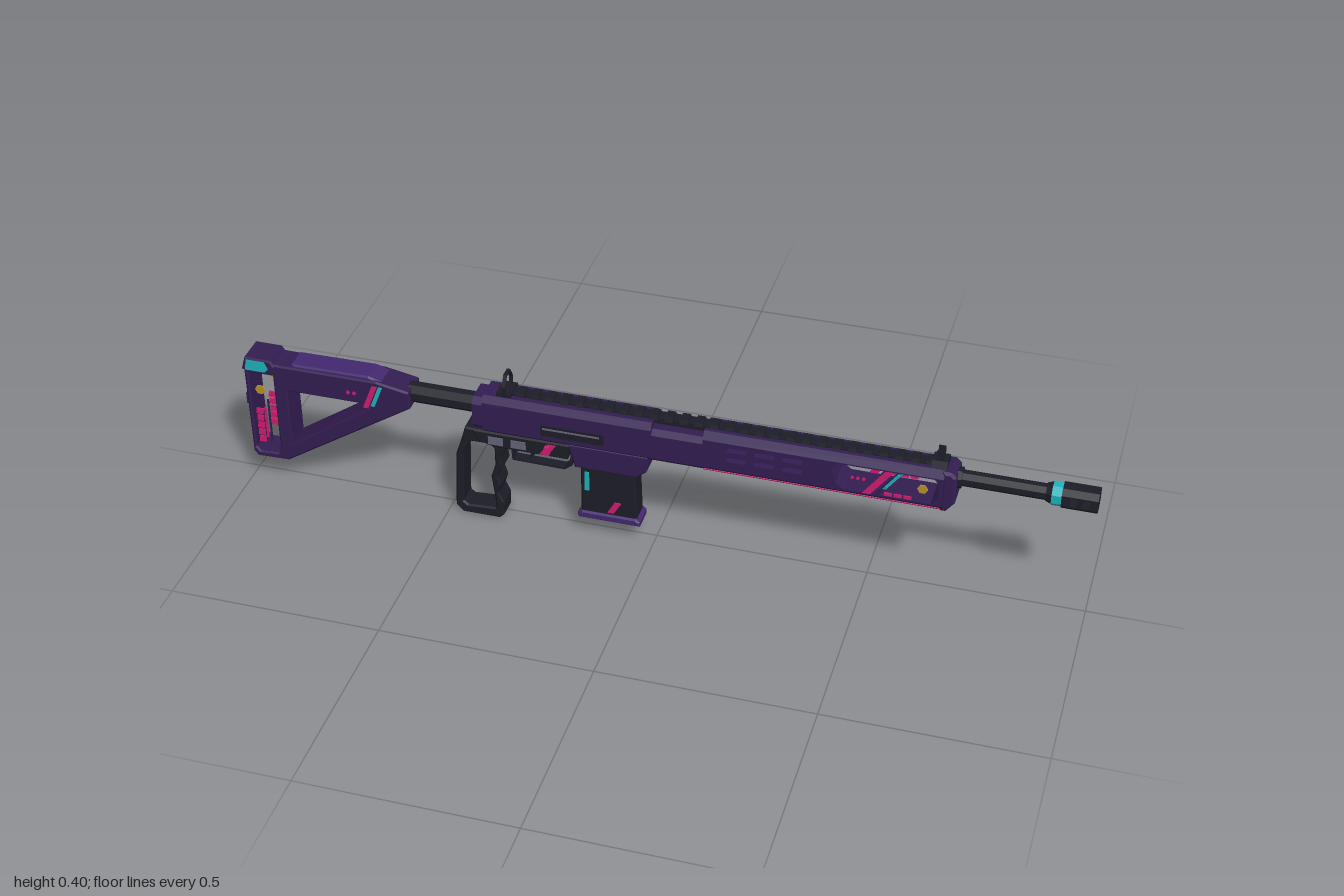
import * as THREE from 'three';

const mat = (name, color) => {
  const m = new THREE.MeshStandardMaterial({ color });
  m.name = name;
  return m;
};

export function createModel() {
  const purple = mat('deep purple', 0x331d52);
  const violet = mat('violet', 0x42286e);
  const black = mat('gunmetal black', 0x1c1d27);
  const grey = mat('steel grey', 0x66657a);
  const pink = mat('hot pink', 0xd01c6e);
  const cyan = mat('cyan', 0x1fb3bb);
  const gold = mat('gold', 0xb8932a);

  const model = new THREE.Group();
  const rifle = new THREE.Group();
  rifle.name = 'rifle';
  rifle.position.z = 0.011;
  model.add(rifle);

  // ---- helpers ----
  const add = (name, geo, material) => {
    const m = new THREE.Mesh(geo, material);
    m.name = name;
    rifle.add(m);
    return m;
  };
  const pts = (a) => a.map(([x, y]) => new THREE.Vector2(x, y));
  const rect = (x0, x1, y0, y1) => [[x0, y0], [x1, y0], [x1, y1], [x0, y1]];
  // side outline in x,y spread to +-half in z, with chamfered edges
  const slab = (name, outline, half, material, bevel = 0, holes = []) => {
    const s = new THREE.Shape(pts(outline));
    s.holes = holes.map((h) => new THREE.Path(pts(h)));
    const g = new THREE.ExtrudeGeometry(s, {
      depth: 2 * (half - bevel), bevelEnabled: bevel > 0, bevelSize: bevel,
      bevelThickness: bevel, bevelOffset: -bevel, bevelSegments: 1,
    });
    g.translate(0, 0, bevel - half);
    return add(name, g, material);
  };
  // end section in z,y swept from x0 to x1
  const sweep = (name, section, x0, x1, material, holes = []) => {
    const s = new THREE.Shape(pts(section));
    s.holes = holes.map((h) => new THREE.Path(pts(h)));
    const g = new THREE.ExtrudeGeometry(s, { depth: x1 - x0, bevelEnabled: false });
    g.rotateY(Math.PI / 2).translate(x0, 0, 0);
    return add(name, g, material);
  };
  const octagon = (h, y0, y1, c) => [[-h, y0 + c], [-h + c, y0], [h - c, y0], [h, y0 + c],
    [h, y1 - c], [h - c, y1], [-h + c, y1], [-h, y1 - c]];
  const box = (name, x0, x1, y0, y1, z0, z1, material) => {
    const g = new THREE.BoxGeometry(x1 - x0, y1 - y0, z1 - z0);
    g.translate((x0 + x1) / 2, (y0 + y1) / 2, (z0 + z1) / 2);
    return add(name, g, material);
  };
  // eight-sided rod along x, flat faced
  const rod = (name, x0, x1, r, y, material, r2 = r) => {
    const g = new THREE.CylinderGeometry(r2, r, x1 - x0, 8, 1, false, Math.PI / 8).toNonIndexed();
    g.computeVertexNormals();
    g.rotateZ(-Math.PI / 2).translate((x0 + x1) / 2, y, 0);
    return add(name, g, material);
  };
  // chamfered bar with square-cut windows through its sides
  const slottedBar = (name, x0, x1, [y0, y1, y2, y3], half, chamfer, material, holes) => {
    slab(name + 'Core', rect(x0, x1, y1, y2), half, material, 0, holes);
    const n = half - chamfer;
    sweep(name + 'Top', [[-half, y2], [half, y2], [n, y3], [-n, y3]], x0, x1, material);
    sweep(name + 'Bottom', [[-n, y0], [n, y0], [half, y1], [-half, y1]], x0, x1, material);
  };
  // thin painted plate, on both sides unless told otherwise
  const paint = (name, outline, z, material, sides = [1, -1]) => {
    for (const s of sides) slab(name, outline, 0.0015, material).position.z = s * z;
  };
  const stripe = (x, y0, y1, w, lean) => [[x, y0], [x + w, y0], [x + w + lean, y1], [x + lean, y1]];
  const dot = (x, y, r) => Array.from({ length: 6 }, (_, i) =>
    [x + r * Math.cos(i * Math.PI / 3), y + r * Math.sin(i * Math.PI / 3)]);

  // ---- stock ----
  slab('stock', [[-0.985, 0.345], [-0.99, 0.31], [-0.988, 0.08], [-0.978, 0.068], [-0.9, 0.07],
    [-0.58, 0.28], [-0.58, 0.325], [-0.66, 0.34], [-0.9, 0.34]], 0.036, purple, 0.004, [
    [[-0.979, 0.095], [-0.97, 0.084], [-0.924, 0.086], [-0.918, 0.097], [-0.918, 0.308], [-0.979, 0.308]],
    [[-0.885, 0.122], [-0.68, 0.262], [-0.7, 0.272], [-0.885, 0.272]],
  ]);
  slab('stockCap', [[-0.995, 0.315], [-0.985, 0.35], [-0.92, 0.35], [-0.91, 0.335], [-0.91, 0.312]], 0.038, purple, 0.004);
  slab('cheekRest', [[-0.87, 0.33], [-0.87, 0.346], [-0.68, 0.348], [-0.64, 0.335], [-0.64, 0.325]], 0.03, violet, 0.004);
  box('buttStud', -1, -0.985, 0.205, 0.235, -0.018, 0.018, purple);
  paint('capPatch', [[-0.985, 0.318], [-0.935, 0.318], [-0.927, 0.328], [-0.935, 0.346], [-0.98, 0.346]], 0.038, cyan);
  paint('buttEmblem', dot(-0.953, 0.265, 0.013), 0.036, gold);
  for (let i = 0; i < 5; i++) paint('buttMark', stripe(-0.969, 0.115 + i * 0.02, 0.131 + i * 0.02, 0.017, 0.002), 0.036, pink);
  paint('buttStripe', rect(-0.948, -0.943, 0.13, 0.215), 0.036, pink);
  paint('buttLine', rect(-0.938, -0.934, 0.12, 0.24), 0.036, purple);
  paint('stockStripe', stripe(-0.695, 0.265, 0.328, 0.013, 0.025), 0.0365, pink);
  paint('stockStripe', stripe(-0.676, 0.272, 0.328, 0.01, 0.022), 0.0365, cyan);
  for (const x of [-0.73, -0.715]) paint('stockDot', dot(x, 0.3, 0.005), 0.0365, pink);
  rod('bufferTube', -0.59, -0.41, 0.025, 0.307, black);

  // ---- receiver ----
  sweep('receiver', octagon(0.043, 0.25, 0.352, 0.014), -0.4, 0, purple);
  sweep('receiverRear', octagon(0.04, 0.258, 0.342, 0.014), -0.425, -0.4, purple);
  sweep('receiverFront', octagon(0.039, 0.248, 0.335, 0.012), 0, 0.125, purple);
  box('rearCollar', -0.39, -0.35, 0.275, 0.335, -0.046, 0.046, purple);
  slab('lowerReceiver', [[-0.43, 0.255], [-0.42, 0.225], [-0.38, 0.212], [-0.2, 0.212], [-0.19, 0.255]], 0.037, black, 0.005);
  slab('magazineWell', [[-0.2, 0.26], [-0.183, 0.195], [-0.035, 0.195], [-0.012, 0.215], [-0.005, 0.26]], 0.038, purple, 0.005);
  paint('sidePort', rect(-0.26, -0.11, 0.276, 0.304), 0.0435, black, [1]);
  paint('portBar', rect(-0.255, -0.12, 0.294, 0.298), 0.0452, grey, [1]);
  for (const x of [-0.39, -0.335]) paint('receiverPin', rect(x, x + 0.036, 0.222, 0.243), 0.0375, grey);
  paint('lowerStripe', stripe(-0.266, 0.218, 0.248, 0.02, 0.02), 0.0375, pink, [1]);
  box('selector', -0.252, -0.24, 0.224, 0.245, 0.036, 0.048, pink);

  // painted port on the far side
  paint('farPort', rect(-0.31, -0.1, 0.268, 0.304), 0.0435, black, [-1]);
  [pink, gold, cyan, gold, pink, cyan, cyan, pink, cyan, cyan].forEach((m, i) =>
    paint('portMark', stripe(-0.302 + i * 0.02, 0.272 + (i % 2) * 0.007, 0.298, 0.015, 0.004), 0.0453, m, [-1]));

  // charging handle and knob on the far side
  box('chargingRod', -0.25, -0.06, 0.305, 0.313, -0.052, -0.042, black);
  box('chargingHandle', -0.085, -0.06, 0.297, 0.322, -0.063, -0.052, grey);
  for (const [z, r] of [[-0.048, 0.013], [-0.056, 0.005], [-0.066, 0.008]]) {
    const g = new THREE.CylinderGeometry(r, r, 0.009, 8).toNonIndexed();
    g.computeVertexNormals();
    g.rotateX(Math.PI / 2).translate(-0.3, 0.276, z);
    add('boltKnob', g, pink);
  }

  // ---- magazine ----
  slab('magazine', [[-0.172, 0.2], [-0.172, 0.065], [-0.038, 0.065], [-0.042, 0.2]], 0.027, black, 0.004);
  for (const x of [-0.135, -0.105, -0.075]) box('magazineRib', x, x + 0.012, 0.075, 0.195, -0.029, 0.029, black);
  slab('magazineBase', [[-0.178, 0.05], [-0.03, 0.05], [-0.03, 0.062], [-0.04, 0.07], [-0.17, 0.07], [-0.18, 0.062]], 0.032, violet, 0.004);
  paint('magazineMark', rect(-0.162, -0.151, 0.13, 0.182), 0.0275, cyan);
  paint('magazineStripe', stripe(-0.108, 0.077, 0.108, 0.016, 0.018), 0.0297, pink);

  // ---- open grip with finger grooves ----
  slab('grip', [[-0.45, 0.25], [-0.46, 0.215], [-0.475, 0.17], [-0.482, 0.02], [-0.465, 0.002], [-0.375, 0.002],
    [-0.363, 0.014], [-0.362, 0.05], [-0.374, 0.075], [-0.367, 0.1], [-0.375, 0.125], [-0.362, 0.15],
    [-0.365, 0.18], [-0.345, 0.215], [-0.345, 0.25]], 0.028, black, 0.004, [
    [[-0.462, 0.035], [-0.452, 0.026], [-0.385, 0.03], [-0.382, 0.045], [-0.391, 0.12], [-0.38, 0.155],
      [-0.38, 0.2], [-0.388, 0.212], [-0.44, 0.212], [-0.457, 0.17]],
  ]);

  // ---- trigger ----
  slab('triggerGuard', [[-0.345, 0.215], [-0.342, 0.168], [-0.215, 0.166], [-0.197, 0.18], [-0.195, 0.215]], 0.012, black, 0,
    [[[-0.34, 0.212], [-0.337, 0.173], [-0.217, 0.171], [-0.202, 0.183], [-0.2, 0.212]]]);
  slab('trigger', [[-0.305, 0.22], [-0.296, 0.195], [-0.303, 0.18], [-0.296, 0.178], [-0.286, 0.195], [-0.285, 0.22]], 0.006, black);

  // ---- handguard ----
  const slots = [];
  for (const x of [0.173, 0.237, 0.301]) for (const y of [0.286, 0.312]) {
    slots.push([[x + 0.004, y], [x + 0.046, y], [x + 0.052, y + 0.005], [x + 0.048, y + 0.013], [x + 0.008, y + 0.013], [x, y + 0.006]]);
  }
  const window = [[0.415, 0.315], [0.425, 0.28], [0.445, 0.265], [0.64, 0.265], [0.656, 0.285],
    [0.656, 0.32], [0.645, 0.333], [0.425, 0.333]];
  slottedBar('handguard', 0.12, 0.665, [0.246, 0.262, 0.336, 0.353], 0.04, 0.014, purple, [...slots, window]);
  slab('handguardNose', [[0.66, 0.246], [0.672, 0.246], [0.692, 0.272], [0.692, 0.34], [0.68, 0.352], [0.66, 0.352]], 0.036, purple, 0.006);
  // pink trim lies on the lower chamfer
  for (const s of [-1, 1]) {
    sweep('lowerPinkLine', [[s * 0.029, 0.247], [s * 0.0345, 0.253], [s * 0.0325, 0.2545], [s * 0.027, 0.2485]], 0.12, 0.66, pink);
  }
  for (let i = 0; i < 5; i++) paint('dash', rect(0.14 + i * 0.052, 0.176 + i * 0.052, 0.268, 0.273), 0.0403, pink, [-1]);
  paint('windowStripe', stripe(0.486, 0.265, 0.333, 0.018, 0.05), 0.0395, pink);
  paint('windowStripe', stripe(0.512, 0.265, 0.333, 0.01, 0.05), 0.0395, purple);
  paint('windowStripe', stripe(0.53, 0.285, 0.333, 0.009, 0.035), 0.0395, cyan);
  for (const x of [0.462, 0.475, 0.488]) paint('windowDot', dot(x, 0.302, 0.004), 0.0395, pink);
  for (const x of [0.535, 0.557, 0.579]) paint('windowMark', rect(x, x + 0.018, 0.268, 0.276), 0.0395, pink);
  paint('windowEmblem', dot(0.62, 0.302, 0.012), 0.0395, gold);

  // ---- top rail ----
  box('railBase', -0.37, 0.665, 0.342, 0.356, -0.015, 0.015, black);
  for (let i = 0; i < 29; i++) {
    const x = -0.36 + i * 0.035;
    sweep('railTooth', [[-0.018, 0.352], [0.018, 0.352], [0.014, 0.362], [-0.014, 0.362]], x, x + 0.019, black);
  }

  // ---- sights ----
  sweep('rearSightRing', [[-0.028, 0.35], [0.028, 0.35], [0.028, 0.38], [0.013, 0.405], [-0.013, 0.405], [-0.028, 0.38]],
    -0.355, -0.347, black, [[[-0.022, 0.355], [0.022, 0.355], [0.023, 0.379], [0.011, 0.4], [-0.011, 0.4], [-0.023, 0.379]]]);
  box('rearSightBase', -0.37, -0.335, 0.348, 0.361, -0.026, 0.026, black);
  sweep('frontSightBase', [[-0.026, 0.35], [0.026, 0.35], [0.016, 0.368], [-0.016, 0.368]], 0.632, 0.668, black);
  for (const s of [-1, 1]) {
    sweep('frontSightWing', [[s * 0.011 - 0.005, 0.365], [s * 0.011 + 0.005, 0.365], [s * 0.011 + 0.002, 0.391], [s * 0.011 - 0.002, 0.391]],
      0.641, 0.657, black);
  }
  sweep('frontSightPost', [[-0.003, 0.365], [0.003, 0.365], [0.001, 0.38], [-0.001, 0.38]], 0.646, 0.652, black);

  // ---- barrel and slotted muzzle ----
  rod('barrel', 0.685, 0.925, 0.019, 0.322, black);
  rod('barrelCollar', 0.69, 0.7, 0.025, 0.322, black);
  rod('muzzleRearRing', 0.885, 0.898, 0.021, 0.322, black, 0.026);
  rod('muzzleBand', 0.898, 0.92, 0.0275, 0.322, cyan);
  slottedBar('muzzle', 0.92, 1, [0.296, 0.308, 0.336, 0.348], 0.026, 0.012, black,
    [rect(0.938, 0.954, 0.312, 0.332), rect(0.966, 0.982, 0.312, 0.332)]);

  return model;
}
